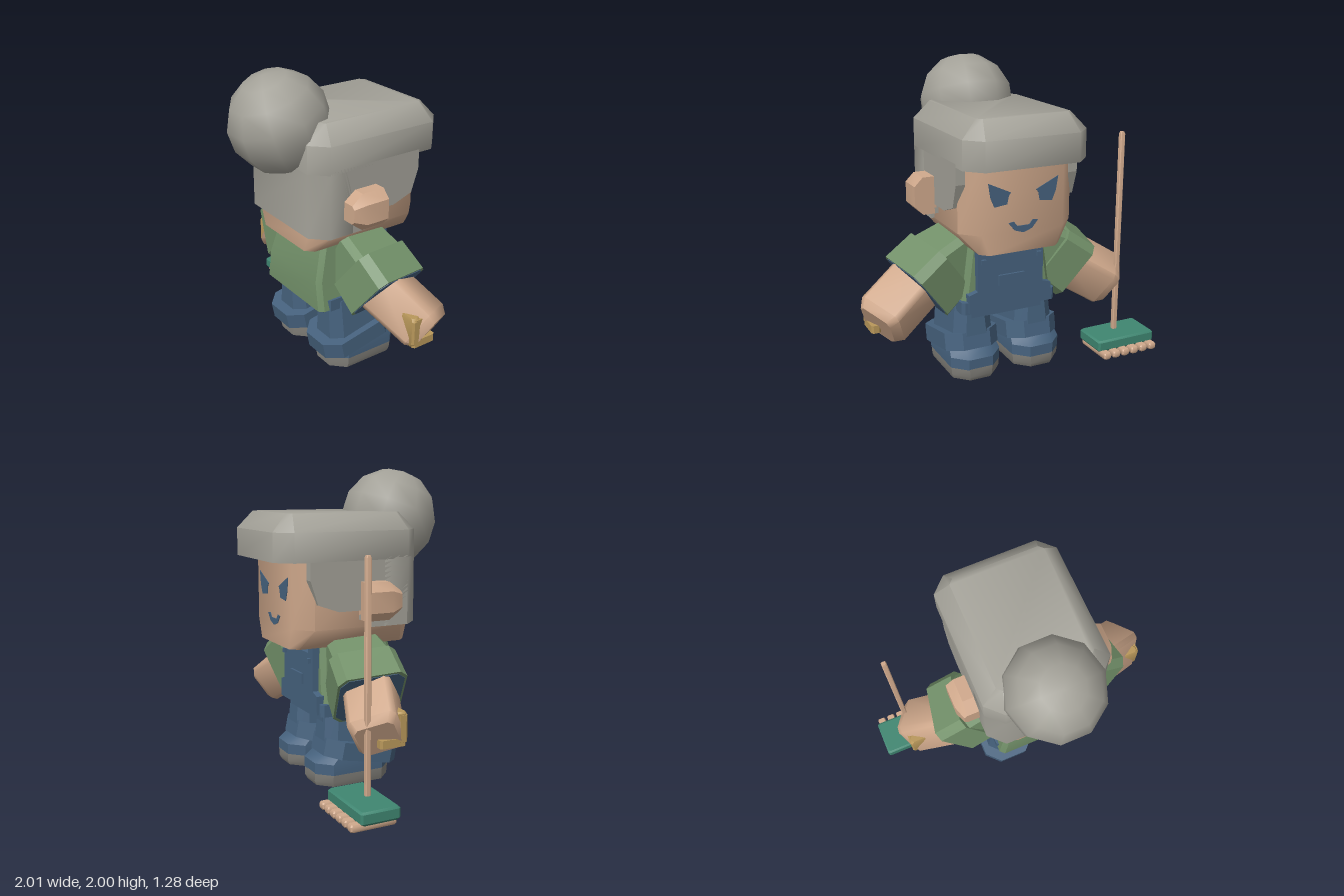
import * as THREE from 'three';
import { toCreasedNormals } from 'three/addons/utils/BufferGeometryUtils.js';

const material = (name, color) => {
  const m = new THREE.MeshStandardMaterial({ color });
  m.name = name;
  return m;
};

// Solid through octagonal cross-sections, each [y, x0, x1, z0, z1, chamfer]
function loft(sections, crease = 0.6) {
  const pos = [], idx = [], n = 8;
  for (const [y, x0, x1, z0, z1, c] of sections) {
    const ring = [[x1, z0 + c], [x1, z1 - c], [x1 - c, z1], [x0 + c, z1],
      [x0, z1 - c], [x0, z0 + c], [x0 + c, z0], [x1 - c, z0]];
    for (const [x, z] of ring) pos.push(x, y, z);
  }
  const last = (sections.length - 1) * n;
  for (let r = 0; r < last; r += n) {
    for (let j = 0; j < n; j++) {
      const a = r + j, b = r + (j + 1) % n;
      idx.push(a, a + n, b, b, a + n, b + n);
    }
  }
  for (let j = 1; j < n - 1; j++) idx.push(0, j, j + 1, last, last + j + 1, last + j);
  const g = new THREE.BufferGeometry();
  g.setAttribute('position', new THREE.Float32BufferAttribute(pos, 3));
  g.setIndex(idx);
  return toCreasedNormals(g, crease);
}

const slab = (y, hx, hz, c) => [y, -hx, hx, -hz, hz, c];
const outline = (pts) => new THREE.Shape(pts.map(([x, y]) => new THREE.Vector2(x, y)));
const extrude = (pts, depth) =>
  new THREE.ExtrudeGeometry(outline(pts), { depth, bevelEnabled: false });

export function createModel() {
  const skin = material('skin', 0xd0a98c);
  const hair = material('greyHair', 0xa3a198);
  const green = material('greenShirt', 0x729069);
  const navy = material('blueDenim', 0x46627e);
  const sole = material('greyShoe', 0x83817b);
  const gold = material('ochreGlove', 0xb8975a);
  const teal = material('tealBroom', 0x3f8671);

  const model = new THREE.Group();
  model.name = 'sweeper';
  const body = new THREE.Group();
  body.name = 'body';
  body.position.x = 0.075;
  model.add(body);

  const add = (name, geometry, mat, x = 0, y = 0, z = 0, parent = body) => {
    const m = new THREE.Mesh(geometry, mat);
    m.name = name;
    m.position.set(x, y, z);
    parent.add(m);
    return m;
  };
  const box = (name, mat, x0, x1, y0, y1, z0, z1, parent = body) => add(name,
    new THREE.BoxGeometry(Math.abs(x1 - x0), y1 - y0, z1 - z0), mat,
    (x0 + x1) / 2, (y0 + y1) / 2, (z0 + z1) / 2, parent);
  // Chamfered block running from one point towards another
  const limb = (name, mat, from, to, sectionsFor, crease) => {
    const a = new THREE.Vector3(...from), d = new THREE.Vector3(...to).sub(a);
    const m = add(name, loft(sectionsFor(d.length()), crease), mat, ...from);
    m.quaternion.setFromUnitVectors(new THREE.Vector3(0, 1, 0), d.normalize());
    return m;
  };

  // Head
  add('head', loft([
    [0.89, -0.275, 0.275, -0.51, 0.31, 0.05],
    [1.02, -0.385, 0.385, -0.51, 0.31, 0.11],
    [1.5, -0.385, 0.385, -0.51, 0.31, 0.11],
  ], 0.9), skin);

  // Hair: cap with brim, back block, side panels and bun
  add('hairCap', loft([
    [1.44, -0.41, 0.41, -0.64, 0.34, 0.1],
    [1.62, -0.41, 0.41, -0.64, 0.34, 0.1],
    [1.73, -0.31, 0.31, -0.54, 0.235, 0.03],
  ], 0.85), hair);
  add('hairBack', loft([
    [1.02, -0.41, 0.41, -0.03, 0.34, 0.1],
    [1.45, -0.41, 0.41, -0.03, 0.34, 0.1],
  ], 0.85), hair);
  const sidePanel = [[-0.235, 1.02], [0.03, 1.02], [0.03, 1.07], [0.1, 1.07], [0.1, 1.13],
    [0.25, 1.13], [0.39, 1.18], [0.44, 1.33], [0.44, 1.46], [-0.235, 1.46]];
  for (const x of [-0.41, 0.35]) {
    const p = add('hairSide', extrude(sidePanel, 0.06), hair, x);
    p.rotation.y = Math.PI / 2;
  }
  const bun = add('hairBun', new THREE.SphereGeometry(0.325, 10, 7), hair, 0, 1.68, 0.33);
  bun.rotation.x = 0.35;
  bun.scale.x = 0.97;

  // Face plates
  const mouth = [[-0.1, 1.08], [-0.06, 1.03], [0, 1.01], [0.06, 1.03], [0.1, 1.08],
    [0.065, 1.085], [0.04, 1.055], [-0.04, 1.055], [-0.065, 1.085]];
  add('mouth', extrude(mouth, 0.006), navy, 0, 0, -0.514);

  // Shirt and trouser waist
  add('shirt', loft([
    [0.46, -0.325, 0.325, -0.31, 0.25, 0.03],
    [0.66, -0.295, 0.295, -0.31, 0.25, 0.03],
    [0.89, -0.262, 0.262, -0.3, 0.19, 0.03],
  ]), green);
  add('waistband', loft([
    [0.45, -0.33, 0.33, -0.335, 0.195, 0.02],
    [0.53, -0.33, 0.33, -0.335, 0.195, 0.02],
  ]), navy);
  box('trouserSeat', navy, -0.25, 0.25, 0.4, 0.47, -0.29, 0.18);

  // Dungaree bib with shoulder tabs, pocket and buttons
  const bib = [[-0.29, 0.46], [0.29, 0.46], [0.29, 0.58], [0.23, 0.6], [0.23, 0.88],
    [0.16, 0.88], [0.16, 0.84], [-0.16, 0.84], [-0.16, 0.88], [-0.23, 0.88],
    [-0.23, 0.6], [-0.29, 0.58]];
  add('bib', extrude(bib, 0.05), navy, 0, 0, -0.35);
  box('bibPocket', navy, -0.09, 0.09, 0.62, 0.69, -0.365, -0.34);

  for (const s of [-1, 1]) {
    // Eyes and ears
    const eye = [[0.085, 1.27], [0.235, 1.34], [0.22, 1.25], [0.195, 1.19], [0.11, 1.2], [0.1, 1.25]]
      .map(([x, y]) => [s * x, y]);
    add('eye', extrude(eye, 0.006), navy, 0, 0, -0.514);
    const ear = add('ear', loft([
      slab(-0.1, 0.1, 0.12, 0.055),
      slab(0.06, 0.1, 0.12, 0.055),
      slab(0.14, 0.07, 0.06, 0.02),
    ]), skin, s * 0.44, 1.19, 0);
    ear.rotation.x = Math.PI / 2;
    box('bibButton', navy, s * 0.18, s * 0.21, 0.78, 0.81, -0.37, -0.34);

    // Sleeve, its turned cuff and blue lining
    limb('sleeve', green, [s * 0.23, 0.81, -0.08], [s * 0.4, 0.72, -0.09],
      (l) => [slab(0, 0.165, 0.18, 0.04), slab(l, 0.18, 0.2, 0.04)]);
    const cuffStart = [s * 0.375, 0.745, -0.09], cuffEnd = [s * 0.55, 0.61, -0.11];
    limb('sleeveCuff', green, cuffStart, cuffEnd,
      (l) => [slab(0, 0.2, 0.215, 0.05), slab(l, 0.21, 0.22, 0.05)]);
    limb('sleeveLining', navy, cuffStart, cuffEnd,
      (l) => [slab(l - 0.004, 0.195, 0.205, 0.05), slab(l + 0.004, 0.195, 0.205, 0.05)]);

    // Forearm and glove
    limb('forearm', skin, [s * 0.45, 0.69, -0.06], [s * 0.835, 0.45, -0.21],
      (l) => [slab(0, 0.15, 0.15, 0.03), slab(l - 0.04, 0.145, 0.15, 0.03),
        slab(l + 0.015, 0.115, 0.12, 0.03)], 0.9);
    add('glovePalm', loft([
      slab(-0.1, 0.08, 0.025, 0.012), slab(-0.08, 0.097, 0.032, 0.012),
      slab(0.08, 0.097, 0.032, 0.012), slab(0.1, 0.08, 0.025, 0.012),
    ]), gold, s * 0.79, 0.495, -0.068);
    for (const y of [0.415, 0.56]) {
      add('gloveFinger', loft([
        slab(-0.025, 0.03, 0.085, 0.012), slab(0.025, 0.03, 0.085, 0.012),
      ]), gold, s * 0.856, y, -0.132);
    }

    // Leg, rolled cuff, trouser hem and shoe
    const x = s * 0.22;
    add('upperLeg', loft([
      [0.15, -0.15, 0.15, -0.31, 0.155, 0.07],
      [0.5, -0.115, 0.115, -0.28, 0.155, 0.06],
    ]), navy, x);
    const cuff = add('trouserCuff', loft([
      slab(-0.057, 0.185, 0.265, 0.09), slab(0.057, 0.185, 0.265, 0.09),
    ]), navy, x, 0.2, -0.045);
    cuff.rotation.x = 0.2;
    add('trouserHem', loft([
      [0.08, -0.172, 0.172, -0.37, 0.158, 0.09],
      [0.15, -0.172, 0.172, -0.37, 0.158, 0.09],
      [0.21, -0.16, 0.16, -0.3, 0.155, 0.08],
    ]), navy, x);
    add('shoe', loft([
      [0, -0.155, 0.155, -0.355, 0.155, 0.085],
      [0.03, -0.165, 0.165, -0.37, 0.158, 0.09],
      [0.085, -0.17, 0.17, -0.37, 0.158, 0.09],
    ]), sole, x);
  }

  // Broom
  const broom = new THREE.Group();
  broom.name = 'broom';
  model.add(broom);
  add('broomHandle', loft([
    slab(0.09, 0.017, 0.017, 0.005), slab(1.5, 0.017, 0.017, 0.005), slab(1.515, 0.012, 0.012, 0.004),
  ]), skin, -0.77, 0, -0.285, broom);
  add('broomHead', loft([
    slab(0.03, 0.21, 0.115, 0.012), slab(0.045, 0.222, 0.127, 0.012),
    slab(0.1, 0.222, 0.127, 0.012), slab(0.112, 0.21, 0.115, 0.012),
  ]), teal, -0.775, 0, -0.315, broom);
  for (let i = 0; i < 6; i++) {
    add('broomBristle', loft([
      slab(0, 0.02, 0.14, 0.008), slab(0.012, 0.028, 0.147, 0.008),
      slab(0.035, 0.028, 0.147, 0.008), slab(0.045, 0.022, 0.142, 0.008),
    ]), skin, -0.955 + i * 0.073, 0, -0.353, broom);
  }
  return model;
}
